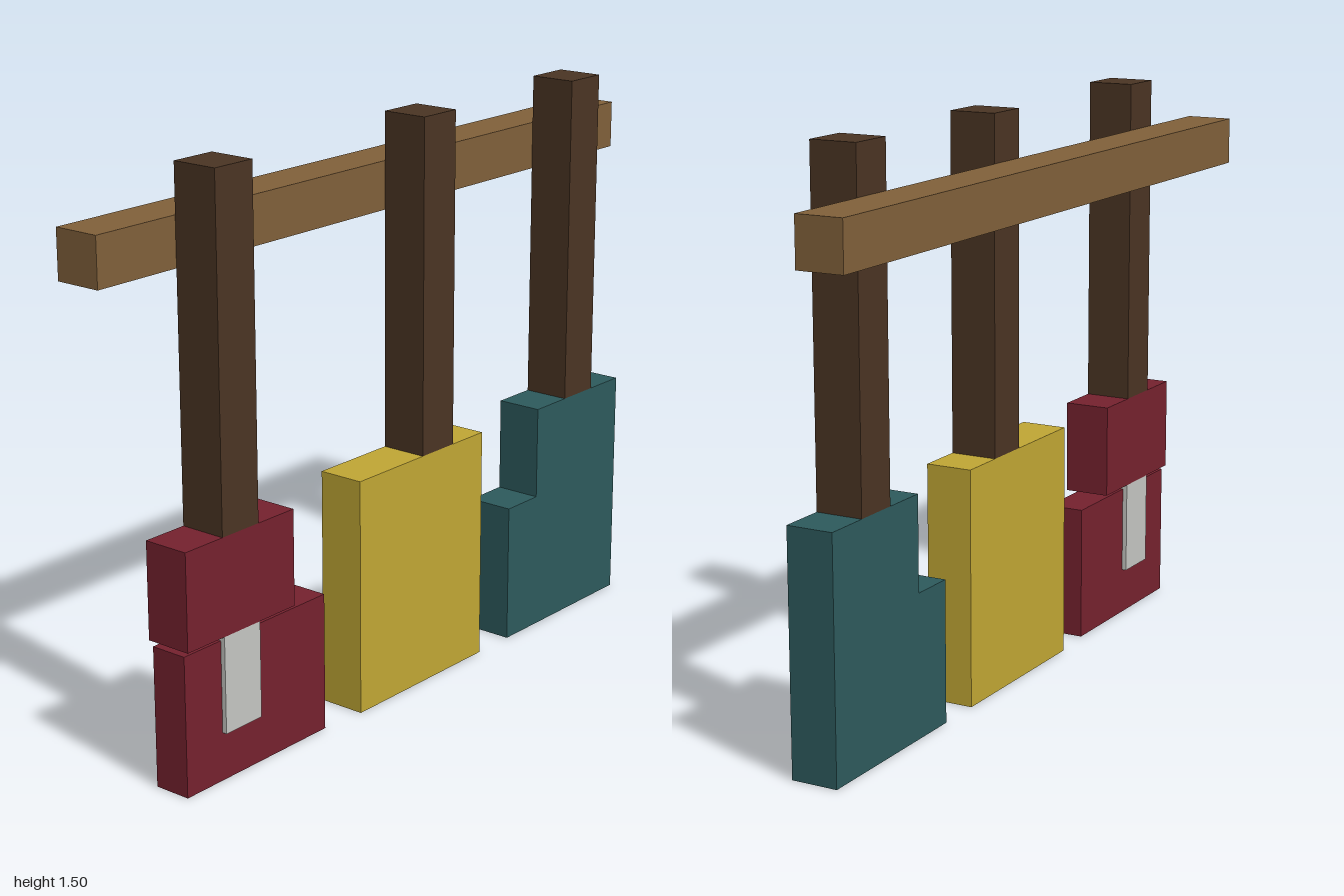
import * as THREE from 'three';

const material = (name, color, side = THREE.FrontSide) => {
  const m = new THREE.MeshStandardMaterial({ color, side });
  m.name = name;
  return m;
};

export function createModel() {
  const group = new THREE.Group();
  const lightWood = material('light wood', 0x80603a);
  const darkWood = material('dark wood', 0x4a3423);
  const red = material('red cloth', 0x75212e, THREE.DoubleSide);
  const yellow = material('yellow cloth', 0xc0a634, THREE.DoubleSide);
  const teal = material('teal cloth', 0x2d5a5c, THREE.DoubleSide);
  const pale = material('pale grey', 0xc4c5c1);

  const add = (name, geometry, mat) => {
    const mesh = new THREE.Mesh(geometry, mat);
    mesh.name = name;
    group.add(mesh);
  };

  // Box given by its low and high corners
  const box = (name, mat, [x0, y0, z0], [x1, y1, z1]) => {
    const g = new THREE.BoxGeometry(x1 - x0, y1 - y0, z1 - z0);
    g.translate((x0 + x1) / 2, (y0 + y1) / 2, (z0 + z1) / 2);
    add(name, g, mat);
  };

  // Hollow slab with an outline in x and y, left open on the ground
  const openSlab = (name, mat, outline, z0, z1) => {
    const shape = new THREE.Shape(outline.map(([x, y]) => new THREE.Vector2(x, y)));
    const g = new THREE.ExtrudeGeometry(shape, { depth: z1 - z0, bevelEnabled: false });
    g.translate(0, 0, z0);
    const p = g.attributes.position;
    const kept = [];
    for (let i = 0; i < p.count; i += 3) {
      const onGround = [i, i + 1, i + 2].every((k) => Math.abs(p.getY(k)) < 1e-5);
      if (!onGround) kept.push(i, i + 1, i + 2);
    }
    g.clearGroups();
    g.setIndex(kept);
    add(name, g, mat);
  };

  // Rail and the three hanging posts
  box('rail', lightWood, [-1, 1.25, -0.125], [1, 1.375, 0]);
  [['rightPost', -0.75], ['middlePost', 0], ['leftPost', 0.625]].forEach(([name, x]) =>
    box(name, darkWood, [x, 0.625, 0], [x + 0.125, 1.5, 0.125]));

  // Red panel: upper block, slimmer lower pouch, pale clasp through it
  box('redUpperBlock', red, [-0.875, 0.375, 0], [-0.5, 0.625, 0.125]);
  openSlab('redLowerPouch', red,
    [[-0.875, 0], [-0.375, 0], [-0.375, 0.3625], [-0.875, 0.3625]], 0.0125, 0.1125);
  box('clasp', pale, [-0.75, 0.125, 0], [-0.625, 0.375, 0.125]);

  // Yellow panel
  openSlab('yellowPanel', yellow,
    [[-0.25, 0], [0.25, 0], [0.25, 0.625], [-0.25, 0.625]], 0, 0.125);

  // Teal stepped panel
  openSlab('tealPanel', teal,
    [[0.375, 0], [0.875, 0], [0.875, 0.625], [0.5, 0.625], [0.5, 0.375], [0.375, 0.375]], 0, 0.125);

  return group;
}
